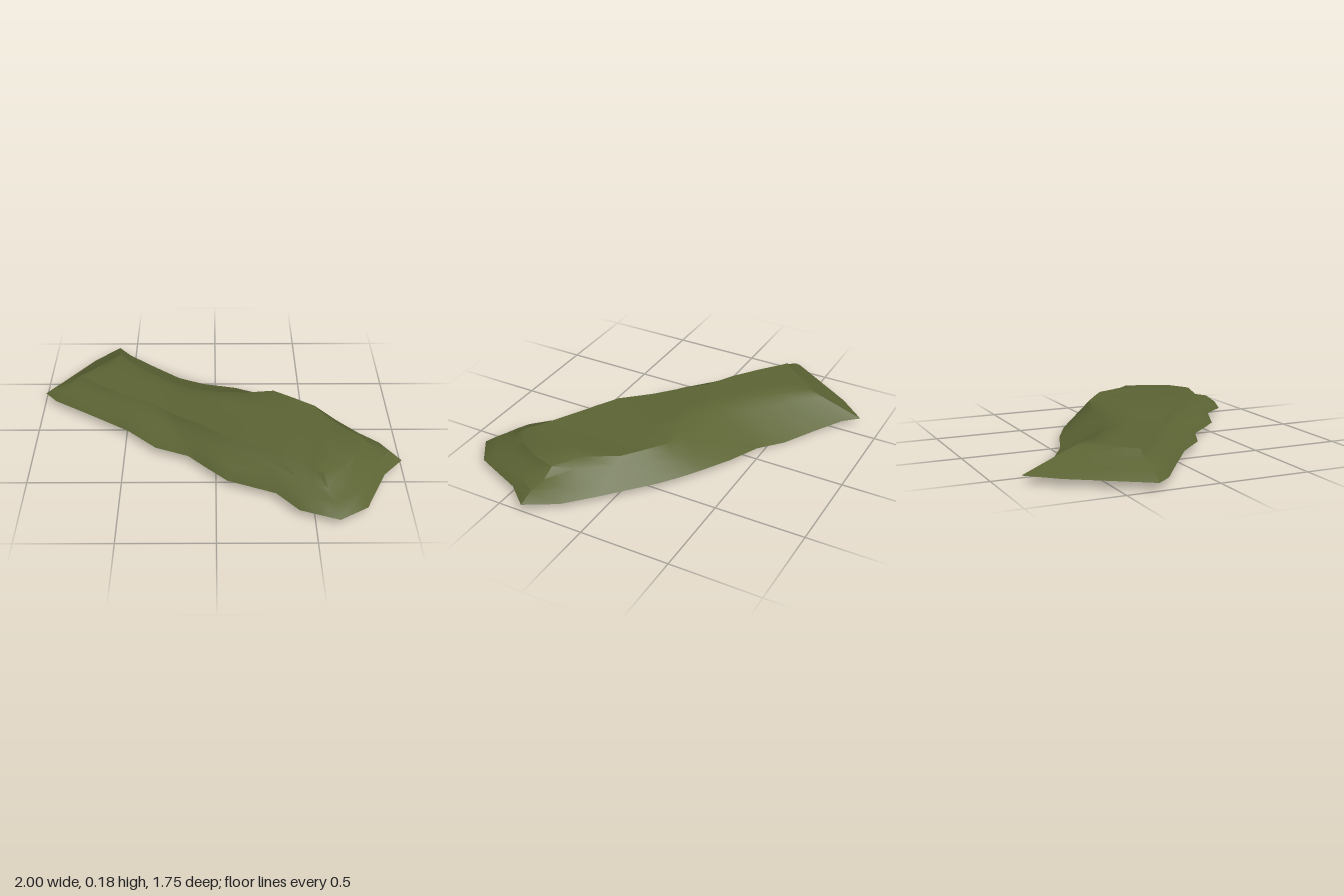
import * as THREE from 'three';
import { toCreasedNormals } from 'three/addons/utils/BufferGeometryUtils.js';

const BASE = 0.04;

// Cross-sections from the left end to the right end:
// [back foot, back rim, front rim, front foot], each as x, y, z
const ROWS = [
  [[-0.6, BASE, -0.875], [-0.57, 0.16, -0.57], [-0.79, 0.16, -0.33], [-1, BASE, -0.33]],
  [[-0.53, 0.035, -0.79], [-0.52, 0.16, -0.5], [-0.76, 0.16, -0.31], [-0.93, BASE, -0.245]],
  [[-0.38, 0.018, -0.68], [-0.42, 0.16, -0.39], [-0.65, 0.16, -0.22], [-0.71, BASE, -0.09]],
  [[-0.22, 0, -0.57], [-0.3, 0.16, -0.28], [-0.5, 0.16, -0.11], [-0.49, BASE, 0.07]],
  [[-0.07, 0.018, -0.47], [-0.16, 0.16, -0.18], [-0.34, 0.16, -0.02], [-0.33, BASE, 0.235]],
  [[0.12, 0.033, -0.4], [0, 0.18, -0.11], [-0.24, 0.16, 0.08], [-0.15, BASE, 0.315]],
  [[0.29, BASE, -0.31], [0.17, 0.18, -0.11], [-0.08, 0.17, 0.2], [-0.05, BASE, 0.425]],
  [[0.4, BASE, -0.24], [0.33, 0.18, -0.13], [0.07, 0.18, 0.34], [0.06, BASE, 0.54]],
  [[0.51, BASE, -0.16], [0.43, 0.18, -0.06], [0.28, 0.18, 0.45], [0.31, BASE, 0.65]],
  [[0.75, BASE, 0.05], [0.55, 0.18, 0.03], [0.42, 0.165, 0.55], [0.42, BASE, 0.79]],
  [[0.9, BASE, 0.19], [0.65, 0.175, 0.21], [0.49, 0.16, 0.595], [0.52, BASE, 0.83]],
  [[1, BASE, 0.36], [0.78, 0.16, 0.31], [0.55, 0.16, 0.64], [0.62, BASE, 0.87]],
];
const LAST = ROWS.length - 1;

// Feet of the two short ends, from back to front
const LEFT_FEET = [ROWS[0][0], [-0.74, BASE, -0.72], [-0.87, BASE, -0.525], ROWS[0][3]];
const RIGHT_FEET = [ROWS[LAST][0], [0.89, BASE, 0.49], [0.77, BASE, 0.77], ROWS[LAST][3]];

const mix = (a, b, t) => a.map((v, i) => v + (b[i] - v) * t);
const transpose = (grid) => grid[0].map((_, j) => grid.map((row) => row[j]));

// Slope from foot to rim; ledge = 1 gives a step halfway up, 0 a plain slope
function bank(foot, rim, ledge) {
  const low = mix(foot, rim, 0.33);
  const high = mix(foot, rim, 0.74);
  low[1] += 0.009 * ledge;
  high[1] -= 0.018 * ledge;
  return [foot, low, high, rim];
}

// Skins grids whose rows run to +x and columns to +z; flip turns the faces down
function skin(grids, flip) {
  const pos = [];
  const same = (p, q) => p.every((v, i) => v === q[i]);
  const tri = (a, b, c) => {
    if (same(a, b) || same(b, c) || same(a, c)) return;
    pos.push(...a, ...(flip ? c : b), ...(flip ? b : c));
  };
  for (const rows of grids) {
    for (let i = 0; i < rows.length - 1; i++) {
      for (let j = 0; j < rows[i].length - 1; j++) {
        const a = rows[i][j], b = rows[i][j + 1], c = rows[i + 1][j], d = rows[i + 1][j + 1];
        tri(a, b, d);
        tri(a, d, c);
      }
    }
  }
  const g = new THREE.BufferGeometry();
  g.setAttribute('position', new THREE.Float32BufferAttribute(pos, 3));
  return toCreasedNormals(g, 0.7);
}

export function createModel() {
  const group = new THREE.Group();
  group.name = 'groundSlab';
  const grass = new THREE.MeshStandardMaterial({ color: 0x5c6434 });
  grass.name = 'olive grass';
  const stone = new THREE.MeshStandardMaterial({ color: 0x8a8a8a });
  stone.name = 'grey stone';

  // Plateau between the rims; its right edge bulges outwards
  const crown = ROWS.map(([, back, front]) => [back, mix(back, front, 1 / 3), mix(back, front, 2 / 3), front]);
  crown[LAST][1] = [0.75, 0.16, 0.42];
  crown[LAST][2] = [0.67, 0.16, 0.575];

  // Banks around the plateau
  const backBank = ROWS.map((r, i) => bank(r[0], r[1], i === LAST ? 1 : 0));
  const frontBank = ROWS.map((r) => bank(r[3], r[2], 1).reverse());
  const leftBank = transpose(LEFT_FEET.map((foot, k) => bank(foot, crown[0][k], k / 3)));
  const rightBank = transpose(RIGHT_FEET.map((foot, k) => bank(foot, crown[LAST][k], 1).reverse()));

  const top = new THREE.Mesh(skin([crown, backBank, frontBank, leftBank, rightBank], false), grass);
  top.name = 'plateau';

  // Flat underside with a shallow dip at the back edge
  const inner = ROWS.slice(1, LAST).map(([back, , , front]) => {
    const flat = [0.55, 0.8].map((t) => {
      const [x, , z] = mix(back, front, t);
      return [x, BASE, z];
    });
    return [back, ...flat, front];
  });
  const under = new THREE.Mesh(skin([[LEFT_FEET, ...inner, RIGHT_FEET]], true), stone);
  under.name = 'underside';

  group.add(top, under);
  return group;
}
